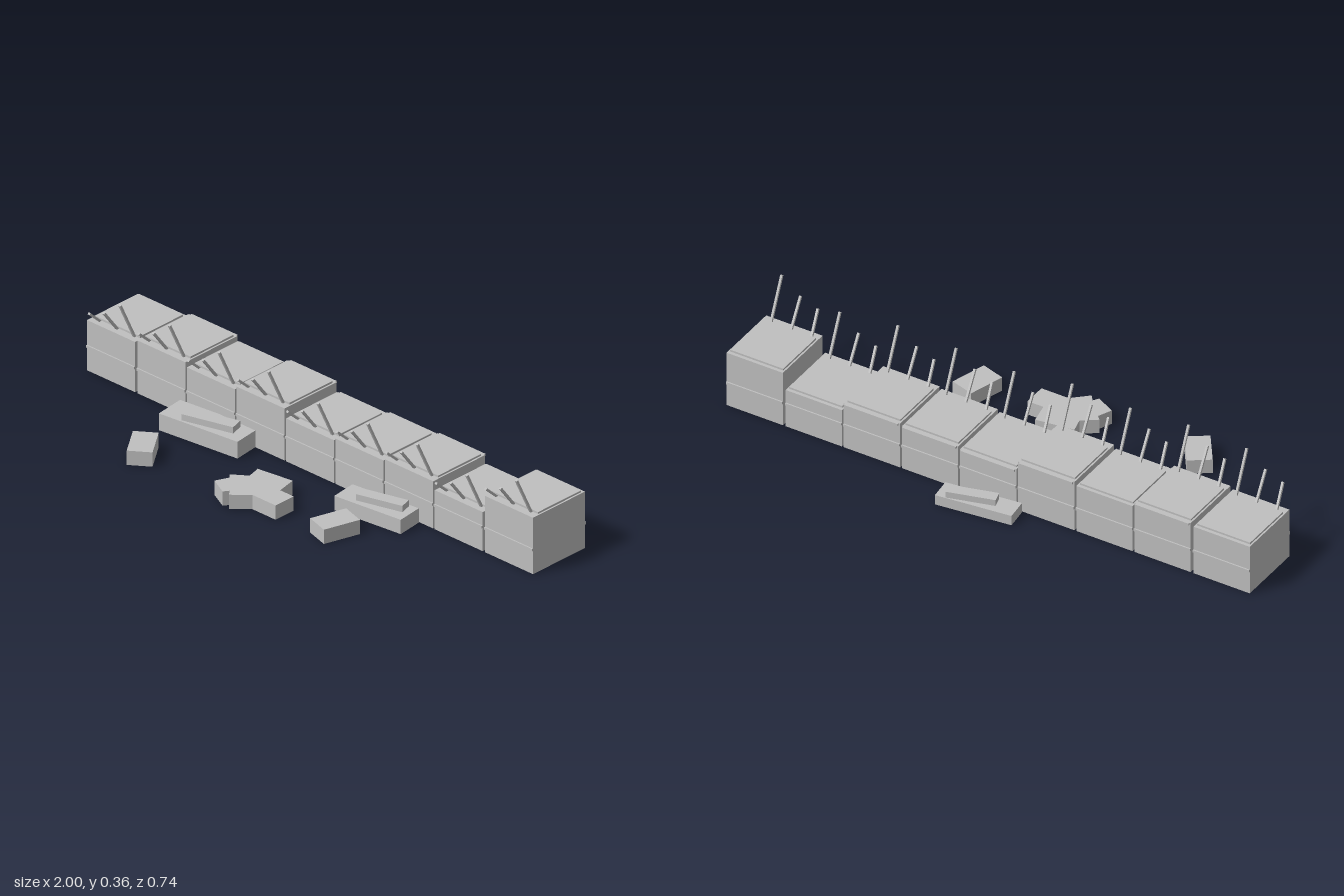
import * as THREE from 'three';

export function createModel() {
  const model = new THREE.Group();
  model.name = 'spikedBarricade';
  const concrete = new THREE.MeshStandardMaterial({ color: 0xc0c0c0 });
  concrete.name = 'concreteGrey';

  // Box standing on y, turned about the vertical axis
  function box(name, w, h, d, x, y, z, turn = 0) {
    const mesh = new THREE.Mesh(new THREE.BoxGeometry(w, h, d), concrete);
    mesh.name = name;
    mesh.position.set(x, y + h / 2, z);
    mesh.rotation.y = turn;
    model.add(mesh);
    return mesh;
  }

  // Thin square bar between two points
  function bar(name, from, to, size) {
    const dir = to.clone().sub(from);
    const mesh = new THREE.Mesh(new THREE.BoxGeometry(size, dir.length(), size), concrete);
    mesh.name = name;
    mesh.position.copy(from).add(to).multiplyScalar(0.5);
    mesh.quaternion.setFromUnitVectors(new THREE.Vector3(0, 1, 0), dir.normalize());
    model.add(mesh);
  }

  // Wall: nine blocks of uneven height with caps, courses and leaning spikes
  const heights = [0.193, 0.203, 0.187, 0.2, 0.166, 0.175, 0.182, 0.152, 0.216];
  const backBars = [1, 3, 4, 5, 6];
  const pitch = 2 / 9;
  const capThick = 0.007;
  heights.forEach((top, i) => {
    const x = -1 + pitch * (i + 0.5);
    const width = pitch - 0.007;
    const shift = i === 0 ? -0.0035 : i === 8 ? 0.0035 : 0;
    box('wallBlock', width, top - capThick, 0.245, x + shift, 0, -0.1325);
    box('wallCap', width - 0.012, capThick, 0.203, x + shift, top - capThick, -0.1415);
    box('frontCourse', width, 0.009, 0.005, x + shift, 0.086, -0.0075);
    box('backCourse', width, 0.009, 0.006, x + shift, 0.086, -0.257);
    if (backBars.includes(i)) box('backLip', width - 0.01, 0.008, 0.008, x, top - 0.015, -0.258);

    // Three spikes, each longer and more upright than the last
    [[-0.078, 0.02, 0.055], [0, 0.008, 0.082], [0.077, 0.003, 0.138]].forEach(([dx, lean, rise]) => {
      bar('spike',
        new THREE.Vector3(x + dx, top - 0.008, -0.036),
        new THREE.Vector3(x + dx + lean, top + rise, 0.036), 0.008);
    });
  });

  // Stacked rubble slabs: lower slab, then smaller slab on top
  [
    { x: -0.4, z: 0.047, w: 0.32, d: 0.115, h: 0.062, tx: -0.382, tz: 0.056, tw: 0.19, td: 0.05 },
    { x: 0.362, z: 0.057, w: 0.27, d: 0.098, h: 0.053, tx: 0.382, tz: 0.05, tw: 0.17, td: 0.045 },
    { x: 0.0, z: -0.315, w: 0.275, d: 0.08, h: 0.037, tx: 0.02, tz: -0.321, tw: 0.17, td: 0.042 },
  ].forEach((s) => {
    box('rubbleSlab', s.w, s.h, s.d, s.x, 0, s.z, 0.115);
    box('rubbleTopSlab', s.tw, 0.023, s.td, s.tx, s.h, s.tz, 0.27);
  });

  // Loose blocks in front
  box('looseBlock', 0.085, 0.053, 0.135, -0.47, 0, 0.285, 0.61);
  box('looseBlock', 0.09, 0.053, 0.135, 0.343, 0, 0.233, -0.29);

  // Broken chunk in the middle, extruded from its plan outline (x, z)
  const outline = [
    [-0.073, 0.16], [0.065, 0.14], [0.08, 0.215], [0.14, 0.215], [0.14, 0.3], [0.036, 0.3],
    [-0.02, 0.352], [-0.037, 0.33], [-0.05, 0.35], [-0.12, 0.315], [-0.098, 0.265], [-0.113, 0.25], [-0.06, 0.212],
  ];
  const shape = new THREE.Shape(outline.map(([x, z]) => new THREE.Vector2(x, -z)));
  const geometry = new THREE.ExtrudeGeometry(shape, { depth: 0.053, bevelEnabled: false });
  geometry.rotateX(-Math.PI / 2);
  const chunk = new THREE.Mesh(geometry, concrete);
  chunk.name = 'brokenChunk';
  model.add(chunk);

  return model;
}
